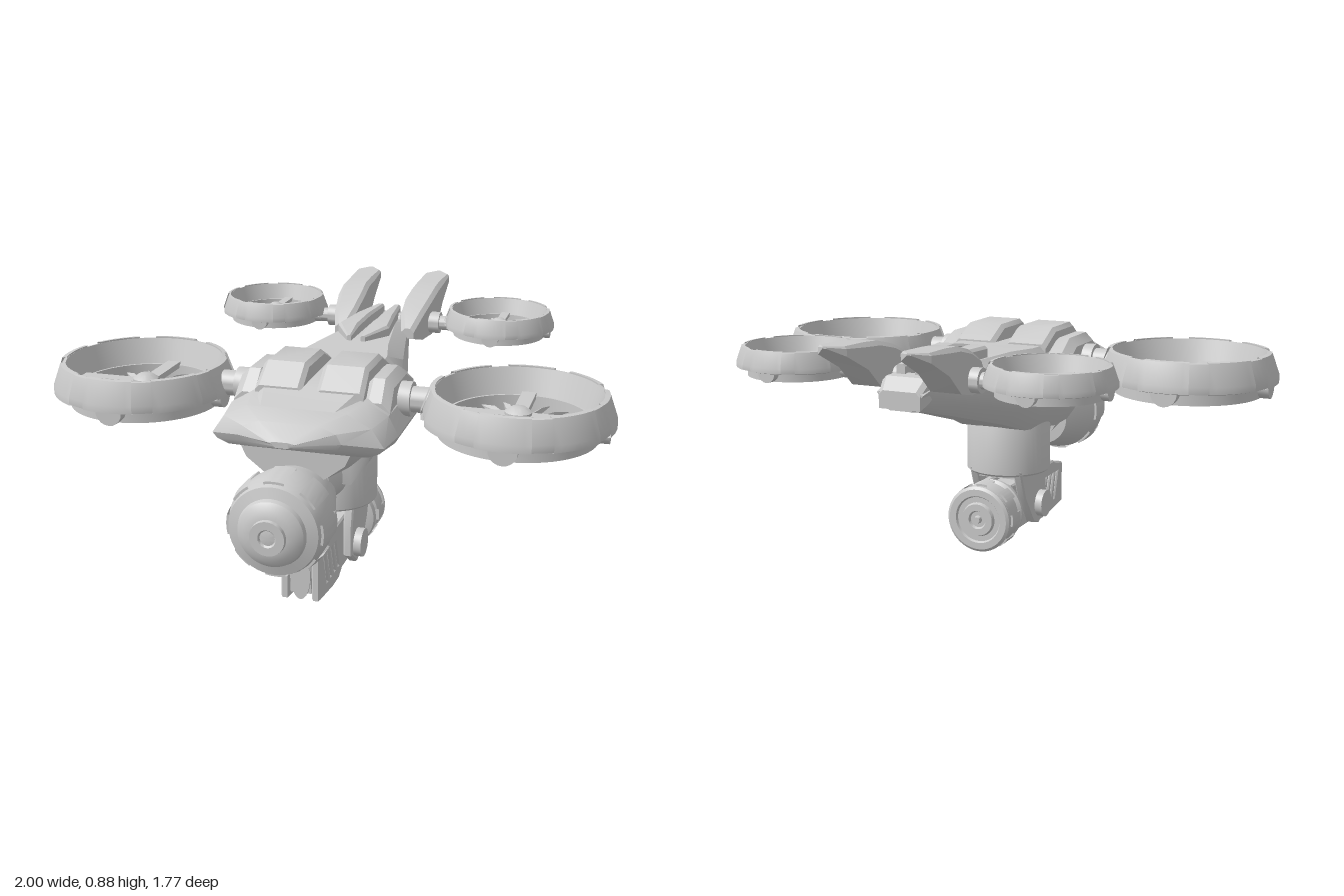
import * as THREE from 'three';
import { toCreasedNormals } from 'three/addons/utils/BufferGeometryUtils.js';

const grey = new THREE.MeshStandardMaterial({ color: 0xcccccc, side: THREE.DoubleSide });

function add(parent, name, geo, x = 0, y = 0, z = 0) {
  const m = new THREE.Mesh(toCreasedNormals(geo, 0.55), grey);
  m.name = name;
  m.position.set(x, y, z);
  parent.add(m);
  return m;
}

// Skin through closed rings of [x, y, z], capped at both ends and turned outward
function loft(rings) {
  const n = rings[0].length, idx = [];
  const p = rings.flat().map((v) => new THREE.Vector3(...v));
  for (let i = 0; i < rings.length - 1; i++)
    for (let j = 0; j < n; j++) {
      const a = i * n + j, b = i * n + (j + 1) % n;
      idx.push(a, b, b + n, a, b + n, a + n);
    }
  const e = (rings.length - 1) * n;
  for (let j = 1; j < n - 1; j++) idx.push(0, j + 1, j, e, e + j, e + j + 1);
  const c = p.reduce((s, v) => s.add(v), new THREE.Vector3()).divideScalar(p.length);
  let vol = 0;
  for (let i = 0; i < idx.length; i += 3) {
    const [a, b, d] = [0, 1, 2].map((k) => p[idx[i + k]].clone().sub(c));
    vol += a.dot(b.cross(d));
  }
  if (vol < 0) idx.reverse();
  const g = new THREE.BufferGeometry().setFromPoints(p);
  g.setIndex(idx);
  return g.toNonIndexed();
}

// Symmetric hull; rows are [z, topY, bottomY, topHalf, midHalf, midY, bottomHalf]
const hull = (rows) => loft(rows.map(([z, t, b, tw, mw, my, bw]) => {
  const side = [[tw, t], [(tw + mw) / 2 + 0.02, t * 0.6 + my * 0.4], [mw, my], [mw * 0.7 + bw * 0.3, my * 0.45 + b * 0.55], [bw, b]];
  return [...side, ...side.slice().reverse().map(([x, y]) => [-x, y])].map(([x, y]) => [x, y, z]);
}));

// Tapered block; rows are [z, y0, y1, x0, x1, chamfer]
const block = (rows, s = 1) => loft(rows.map(([z, y0, y1, x0, x1, c = 0.015]) =>
  [[x0, y0], [x1, y0], [x1, y1 - c], [x1 - c, y1], [x0 + c, y1], [x0, y1 - c]].map(([x, y]) => [s * x, y, z])));

const lathe = (pts, seg = 48, start = 0, len = Math.PI * 2) =>
  new THREE.LatheGeometry(pts.map(([r, y]) => new THREE.Vector2(r, y)), seg, start, len);
const cyl = (r0, r1, h, seg = 32) => new THREE.CylinderGeometry(r0, r1, h, seg);

// Raised plates spaced evenly around a turned part
function plates(parent, name, pts, count, fill, turn = null) {
  const step = (Math.PI * 2) / count;
  for (let i = 0; i < count; i++) {
    const g = lathe([...pts, pts[0]], 8, (i - fill / 2) * step, fill * step);
    if (turn) g.rotateX(turn.angle);
    add(parent, name, g, 0, turn ? turn.y : 0, 0);
  }
}

function rotor(name) {
  const g = new THREE.Group();
  g.name = name;
  add(g, 'shroud', lathe([[0.314, 0.048], [0.318, 0.075], [0.29, 0.15], [0.278, 0.152], [0.243, 0.04], [0.314, 0.048]], 64));
  plates(g, 'shroudPlate', [[0.3, 0.043], [0.325, 0.05], [0.325, 0.075], [0.296, 0.155], [0.279, 0.157], [0.279, 0.14]], 8, 0.72);
  add(g, 'lowerBand', lathe([[0.27, 0], [0.27, 0.06], [0.241, 0.06], [0.241, 0], [0.27, 0]], 64));
  add(g, 'hub', lathe([[0, 0.01], [0.03, 0.015], [0.046, 0.035], [0.046, 0.08], [0.025, 0.095], [0, 0.097]], 24));
  for (let i = 0; i < 4; i++) {
    const a = (i * Math.PI) / 2;
    const spoke = new THREE.BoxGeometry(0.21, 0.022, 0.05);
    add(g, 'spoke', spoke.translate(0.145, 0.06, 0).rotateY(a));
    // round lug on the lower rim
    add(g, 'rimLug', cyl(0.048, 0.048, 0.04, 20).rotateZ(Math.PI / 2).translate(0.286, 0.046, 0).rotateY(a));
    for (let k = 1; k < 4; k++) {
      const blade = lathe([[0, 0.03], [0.006, 0.06], [0.016, 0.145], [0.006, 0.19], [0, 0.215]], 4);
      blade.scale(1, 1, 0.6).rotateY(0.5).rotateZ(-Math.PI / 2);
      add(g, 'blade', blade.translate(0, 0.042, 0).rotateY(a + (k * Math.PI) / 8));
    }
  }
  return g;
}

export function createModel() {
  const model = new THREE.Group();
  model.name = 'drone';

  // Fuselage and armoured nose hood
  add(model, 'fuselage', hull([
    [0.6, 0.72, 0.5, 0.12, 0.2, 0.62, 0.1], [0.44, 0.75, 0.49, 0.16, 0.23, 0.62, 0.14],
    [0.43, 0.755, 0.42, 0.16, 0.23, 0.62, 0.14], [0.3, 0.76, 0.42, 0.17, 0.23, 0.62, 0.14],
    [0.03, 0.765, 0.455, 0.16, 0.23, 0.62, 0.13], [-0.1, 0.77, 0.5, 0.13, 0.205, 0.64, 0.1],
    [-0.45, 0.765, 0.6, 0.07, 0.125, 0.69, 0.06], [-0.6, 0.75, 0.64, 0.06, 0.085, 0.7, 0.045], [-0.68, 0.72, 0.655, 0.055, 0.075, 0.7, 0.04]]));
  add(model, 'noseHood', hull([
    [0.1, 0.72, 0.575, 0.2, 0.305, 0.62, 0.27], [0.45, 0.73, 0.575, 0.2, 0.31, 0.62, 0.27],
    [0.58, 0.725, 0.585, 0.17, 0.295, 0.62, 0.24], [0.66, 0.705, 0.615, 0.1, 0.175, 0.65, 0.13], [0.73, 0.665, 0.645, 0.02, 0.03, 0.655, 0.02]]));
  add(model, 'tailCap', block([[-0.59, 0.69, 0.765, -0.075, 0.075], [-0.64, 0.68, 0.76, -0.085, 0.085], [-0.685, 0.66, 0.72, -0.075, 0.075]]));

  for (const s of [1, -1]) {
    // Split back armour over the front arms
    add(model, 'backArmour', block([[0.45, 0.7, 0.755, 0.025, 0.19], [0.365, 0.7, 0.82, 0.025, 0.185], [0.19, 0.7, 0.82, 0.025, 0.185], [0.09, 0.7, 0.77, 0.025, 0.185]], s));
    add(model, 'sideArmour', block([[0.43, 0.64, 0.72, 0.17, 0.275, 0.03], [0.36, 0.64, 0.785, 0.17, 0.27, 0.03], [0.19, 0.64, 0.785, 0.17, 0.27, 0.03], [0.1, 0.64, 0.74, 0.17, 0.275, 0.03]], s));

    // Raised slab along the spine
    add(model, 'spineSlab', block([[-0.12, 0.74, 0.79, 0.018, 0.035, 0.005], [-0.23, 0.74, 0.808, 0.018, 0.1, 0.01], [-0.4, 0.73, 0.808, 0.018, 0.078, 0.01], [-0.61, 0.72, 0.795, 0.018, 0.05, 0.008]], s));

    // Swept tail fin with a pointed tip
    add(model, 'tailFin', block([
      [-0.38, 0.72, 0.76, 0.11, 0.16], [-0.45, 0.7, 0.81, 0.09, 0.18], [-0.55, 0.7, 0.85, 0.085, 0.195],
      [-0.64, 0.72, 0.872, 0.09, 0.2], [-0.72, 0.79, 0.878, 0.09, 0.2], [-0.84, 0.85, 0.882, 0.095, 0.2, 0.008], [-0.885, 0.878, 0.885, 0.14, 0.155, 0.003]], s));

    // Rotors and their arms
    const front = rotor('frontRotor');
    front.position.set(s * 0.675, 0.605, 0.275);
    const rear = rotor('rearRotor');
    rear.scale.setScalar(0.66);
    rear.position.set(s * 0.465, 0.722, -0.545);
    model.add(front, rear);
    add(model, 'frontArm', cyl(0.045, 0.045, 0.16).rotateZ(Math.PI / 2), s * 0.32, 0.695, 0.275);
    add(model, 'frontArmCollar', cyl(0.06, 0.06, 0.04).rotateZ(Math.PI / 2), s * 0.295, 0.695, 0.275);
    add(model, 'rearArm', cyl(0.028, 0.028, 0.24).rotateZ(Math.PI / 2), s * 0.17, 0.75, -0.545);
    add(model, 'rearArmCollar', cyl(0.042, 0.042, 0.05).rotateZ(Math.PI / 2), s * 0.205, 0.75, -0.545);
  }

  // Nose camera, turned about the z axis
  const turn = { angle: Math.PI / 2, y: 0.4 };
  add(model, 'cameraBall', lathe([[0, 0.495], [0.11, 0.5], [0.13, 0.57], [0.155, 0.65], [0.164, 0.7], [0.165, 0.78], [0.15, 0.825], [0.115, 0.835],
    [0.11, 0.85], [0.085, 0.868], [0.06, 0.872], [0.058, 0.885], [0.03, 0.885], [0.025, 0.878], [0, 0.882]]).rotateX(turn.angle), 0, turn.y, 0);
  plates(model, 'cameraPlate', [[0.15, 0.69], [0.171, 0.69], [0.172, 0.76], [0.163, 0.81], [0.15, 0.81]], 8, 0.55, turn);
  add(model, 'cameraNeck', cyl(0.1, 0.12, 0.16).rotateX(Math.PI / 2), 0, 0.45, 0.46);

  // Turret drum under the belly
  add(model, 'turretDrum', lathe([[0, 0.265], [0.152, 0.265], [0.16, 0.273], [0.16, 0.47], [0.145, 0.5], [0, 0.5]]), 0, 0, 0.175);

  // Gun: side profiles are drawn in (z, y) and extruded across x
  const plate = (pts, x, w, holes = []) => {
    const shape = new THREE.Shape(pts.map((p) => new THREE.Vector2(...p)));
    shape.holes = holes.map((h) => new THREE.Path(h.map((p) => new THREE.Vector2(...p))));
    const g = new THREE.ExtrudeGeometry(shape, { depth: w - 0.012, bevelSize: 0.006, bevelThickness: 0.006, bevelSegments: 1 });
    return g.translate(0, 0, -w / 2 + 0.006).rotateY(-Math.PI / 2).translate(x, 0, 0);
  };
  const slots = [0.33, 0.375, 0.42, 0.465].map((z, i) => [[z, 0.065], [z + 0.022, 0.065], [z + 0.07 - i * 0.004, 0.18], [z + 0.04 - i * 0.004, 0.18]]);
  add(model, 'gunBody', plate([[0.0, 0.05], [0.3, 0.03], [0.4, 0.03], [0.55, 0.06], [0.55, 0.19], [0.48, 0.21], [0.0, 0.21]], 0, 0.085));
  add(model, 'muzzle', cyl(0.09, 0.09, 0.03).scale(0.4, 1, 1).rotateX(Math.PI / 2), 0, 0.125, 0.55);
  const yoke = [[0.055, 0.28], [0.27, 0.28], [0.29, 0.2], [0.29, 0.09], [0.23, 0.045], [0.18, 0.06], [0.1, 0.17]];
  for (const s of [1, -1]) {
    add(model, 'gunCheek', plate([[0.06, 0.045], [0.3, 0.045], [0.34, 0.022], [0.41, 0.022], [0.56, 0.04], [0.56, 0.2], [0.49, 0.215], [0.47, 0.225], [0.06, 0.225]], s * 0.055, 0.03, slots));
    add(model, 'yoke', plate(yoke, s * 0.09, 0.035));
    add(model, 'pivotCap', cyl(0.052, 0.052, 0.035).rotateZ(Math.PI / 2), s * 0.118, 0.12, 0.235);
  }
  add(model, 'yokeTop', new THREE.BoxGeometry(0.2, 0.03, 0.2), 0, 0.265, 0.165);

  // Ribbed drum at the rear of the gun, with rings on its end
  const rearTurn = { angle: -Math.PI / 2, y: 0.13 };
  add(model, 'rearDrum', lathe([[0, -0.06], [0.1, -0.05], [0.118, -0.045], [0.122, -0.025], [0.11, -0.015], [0.11, 0.0], [0.12, 0.005], [0.12, 0.08],
    [0.112, 0.085], [0.125, 0.09], [0.125, 0.098], [0.115, 0.105], [0.09, 0.105], [0.085, 0.097], [0.065, 0.097], [0.06, 0.11], [0.035, 0.11], [0.03, 0.1], [0.015, 0.1], [0.012, 0.116], [0, 0.116]]).rotateX(rearTurn.angle), 0, rearTurn.y, 0);
  plates(model, 'rearDrumPlate', [[0.11, 0.0], [0.128, 0.0], [0.128, 0.07], [0.11, 0.07]], 8, 0.45, rearTurn);

  return model;
}
